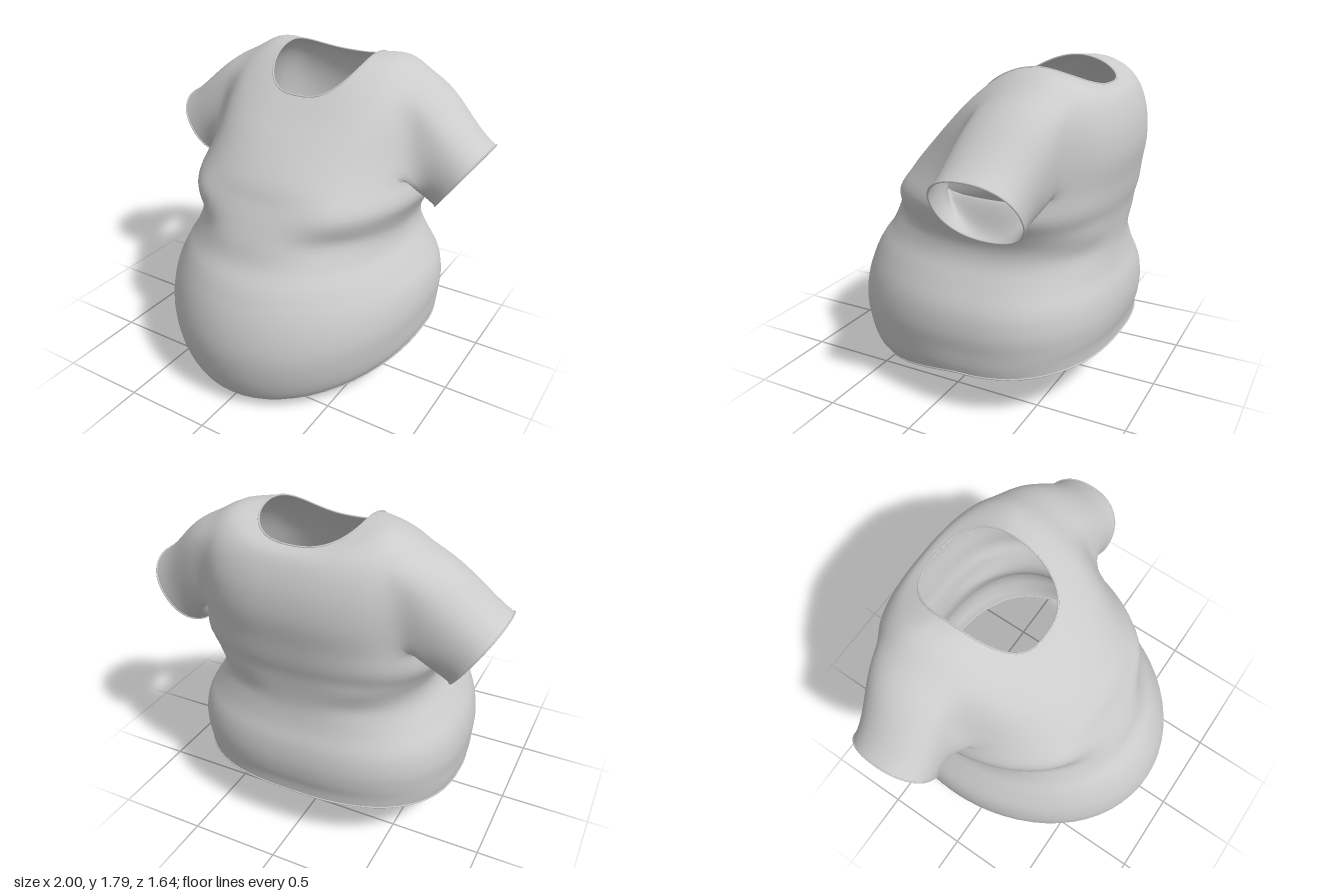
import * as THREE from 'three';

const COLS = 64, SUB = 4, SLEEVE_STEPS = 12;

// Torso sections from hem to neckline:
// y front, y side, y back, half width, z front, z back, z of widest point, front roundness
const SECTIONS = [
  [0.005, 0.25, 0.30, 0.765, 0.67, -0.79, -0.15, 1.05],
  [0.06, 0.30, 0.36, 0.775, 0.745, -0.795, -0.15, 1.02],
  [0.20, 0.38, 0.43, 0.78, 0.80, -0.81, -0.15, 1],
  [0.38, 0.48, 0.52, 0.785, 0.82, -0.815, -0.15, 1],
  [0.56, 0.60, 0.62, 0.76, 0.785, -0.80, -0.15, 1],
  [0.72, 0.72, 0.72, 0.69, 0.71, -0.765, -0.15, 0.97],
  [0.83, 0.82, 0.82, 0.63, 0.625, -0.745, -0.17, 0.93],
  [0.94, 0.91, 0.92, 0.615, 0.575, -0.745, -0.2, 0.9],
  [1.04, 1.00, 1.02, 0.645, 0.52, -0.755, -0.23, 0.87],
  [1.13, 1.10, 1.11, 0.69, 0.465, -0.775, -0.26, 0.87],
  [1.22, 1.22, 1.22, 0.655, 0.415, -0.79, -0.3, 0.89],
  [1.32, 1.38, 1.36, 0.635, 0.33, -0.81, -0.34, 0.93],
  [1.41, 1.56, 1.49, 0.615, 0.24, -0.80, -0.38, 0.95],
  [1.49, 1.71, 1.60, 0.555, 0.15, -0.765, -0.41, 0.93],
  [1.55, 1.78, 1.67, 0.42, 0.085, -0.72, -0.43, 0.82],
  [1.60, 1.79, 1.695, 0.28, 0.03, -0.66, -0.37, 0.74],
];
const ROWS = (SECTIONS.length - 1) * SUB;
const BACK_ROUNDNESS = 0.8;
// Armhole limits in the torso grid
const ROW0 = 10 * SUB, ROW1 = 13 * SUB, COL0 = 12, COL1 = 22;

// Smooth interpolation of the sections
function sectionAt(t) {
  const i = Math.min(Math.floor(t), SECTIONS.length - 2), f = t - i;
  const get = (k) => SECTIONS[THREE.MathUtils.clamp(k, 0, SECTIONS.length - 1)];
  const [a, b, c, d] = [get(i - 1), get(i), get(i + 1), get(i + 2)];
  return b.map((v, k) => v + 0.5 * f * (c[k] - a[k]
    + f * (2 * a[k] - 5 * v + 4 * c[k] - d[k] + f * (3 * (v - c[k]) + d[k] - a[k]))));
}

const bump = (v, centre, width) => Math.exp(-(((v - centre) / width) ** 2));
const signedPower = (v, p) => Math.sign(v) * Math.abs(v) ** p;

function torsoPoint(row, col) {
  const [yF, yS, yB, w, zF, zB, zC, round] = sectionAt(row / SUB);
  const a = (col / COLS) * Math.PI * 2;
  const s = Math.sin(a), c = Math.cos(a), front = c > 0;
  const p = front ? round : BACK_ROUNDNESS;
  const x = w * signedPower(s, p);
  const reach = Math.abs(c) ** p;
  let z = zC + (front ? zF - zC : zB - zC) * reach;
  const y = yS + ((front ? yF : yB) - yS) * Math.abs(c) ** 1.4;
  // chest fullness with a crease below it, and soft folds on both sides of the back
  if (front) {
    z += 0.03 * bump(Math.abs(x), 0.45, 0.18) * Math.min(1, reach * 2)
      * (bump(y, 1.09, 0.09) - bump(y, 0.94, 0.07));
  } else {
    z += 0.01 * reach * bump(Math.abs(x), 0.4, 0.2)
      * (bump(y, 0.86, 0.05) - bump(y, 0.97, 0.06));
  }
  return new THREE.Vector3(x, y, z);
}

// Grid indices around the left armhole: top, front, bottom, back
function armholeLoop() {
  const loop = [], mid = (COL0 + COL1) / 2;
  for (let c = mid; c > COL0; c--) loop.push([ROW1, c]);
  for (let r = ROW1; r > ROW0; r--) loop.push([r, COL0]);
  for (let c = COL0; c < COL1; c++) loop.push([ROW0, c]);
  for (let r = ROW0; r < ROW1; r++) loop.push([r, COL1]);
  for (let c = COL1; c > mid; c--) loop.push([ROW1, c]);
  return loop;
}

function buildShell() {
  const points = [], quads = [], fixed = new Set(), cuffs = [];
  const id = (r, c) => r * COLS + ((c + COLS) % COLS);

  // Torso with both armholes left open
  const inHole = (r, c) => r >= ROW0 && r < ROW1 && c >= COL0 && c < COL1;
  for (let r = 0; r <= ROWS; r++) {
    for (let c = 0; c < COLS; c++) {
      points.push(torsoPoint(r, c));
      if (r === 0 || r === ROWS) fixed.add(id(r, c));
    }
  }
  for (let r = 0; r < ROWS; r++) {
    for (let c = 0; c < COLS; c++) {
      if (inHole(r, c) || inHole(r, COLS - 1 - c)) continue;
      quads.push([id(r, c), id(r, c + 1), id(r + 1, c + 1), id(r + 1, c)]);
    }
  }

  // Sleeves swept from the armholes to the tilted cuffs
  const loop = armholeLoop(), n = loop.length;
  for (const side of [1, -1]) {
    let previous = loop.map(([r, c]) => id(r, side * c));
    const start = previous.map((i) => points[i]);
    for (let s = 1; s <= SLEEVE_STEPS; s++) {
      const ring = start.map((p0, k) => {
        const a = (k / n) * Math.PI * 2;
        const up = signedPower(Math.cos(a), 0.9), fore = signedPower(Math.sin(a), 0.9);
        const p3 = new THREE.Vector3(side * (0.868 + 0.128 * up),
          1.19 + 0.185 * up, -0.335 + 0.24 * fore);
        const len = 0.36 * p0.distanceTo(p3);
        // the sleeve leaves the shoulder flat on top and drops steeply at the armpit
        const p1 = p0.clone().add(
          new THREE.Vector3(side * (0.8 + 0.15 * up), -0.5 + 0.27 * up, 0).multiplyScalar(len));
        const p2 = p3.clone().sub(new THREE.Vector3(side * 0.82, -0.57, 0).multiplyScalar(len));
        points.push(new THREE.CubicBezierCurve3(p0, p1, p2, p3).getPoint(s / SLEEVE_STEPS));
        if (s === SLEEVE_STEPS) fixed.add(points.length - 1);
        return points.length - 1;
      });
      for (let k = 0; k < n; k++) {
        const m = (k + 1) % n;
        const q = [previous[k], previous[m], ring[m], ring[k]];
        quads.push(side > 0 ? q : q.reverse());
      }
      previous = ring;
    }
    cuffs.push(previous);
  }

  // Relax the cloth around the shoulders so that sleeves and torso blend
  const near = points.map(() => new Set());
  for (const q of quads) {
    q.forEach((i, k) => near[i].add(q[(k + 1) % 4]).add(q[(k + 3) % 4]));
  }
  for (let pass = 0; pass < 7; pass++) {
    const old = points.map((p) => p.clone());
    points.forEach((p, i) => {
      if (fixed.has(i) || !near[i].size) return;
      const amount = 0.6 * THREE.MathUtils.smoothstep(Math.abs(old[i].x), 0.4, 0.56)
        * THREE.MathUtils.smoothstep(old[i].y, 1.0, 1.16);
      const mean = new THREE.Vector3();
      near[i].forEach((j) => mean.add(old[j]));
      p.lerp(mean.divideScalar(near[i].size), amount);
    });
  }

  const geometry = new THREE.BufferGeometry().setFromPoints(points);
  geometry.setIndex(quads.flatMap(([a, b, c, d]) => [a, b, c, a, c, d]));
  geometry.computeVertexNormals();
  const row = (r) => points.slice(r * COLS, (r + 1) * COLS);
  return { geometry, hem: row(0), neck: row(ROWS), cuffs: cuffs.map((c) => c.map((i) => points[i])) };
}

export function createModel() {
  const group = new THREE.Group();
  group.name = 'shirt';
  const material = new THREE.MeshStandardMaterial({ color: 0xcccccc, side: THREE.DoubleSide });
  const add = (name, geometry) => {
    const mesh = new THREE.Mesh(geometry, material);
    mesh.name = name;
    group.add(mesh);
  };
  const shell = buildShell();
  add('shirtBody', shell.geometry);

  // Thin rolled edges around the openings
  const edge = (name, pts) => add(name,
    new THREE.TubeGeometry(new THREE.CatmullRomCurve3(pts, true), 128, 0.005, 6, true));
  edge('bottomHem', shell.hem);
  edge('neckHem', shell.neck);
  edge('leftCuff', shell.cuffs[0]);
  edge('rightCuff', shell.cuffs[1]);
  return group;
}
